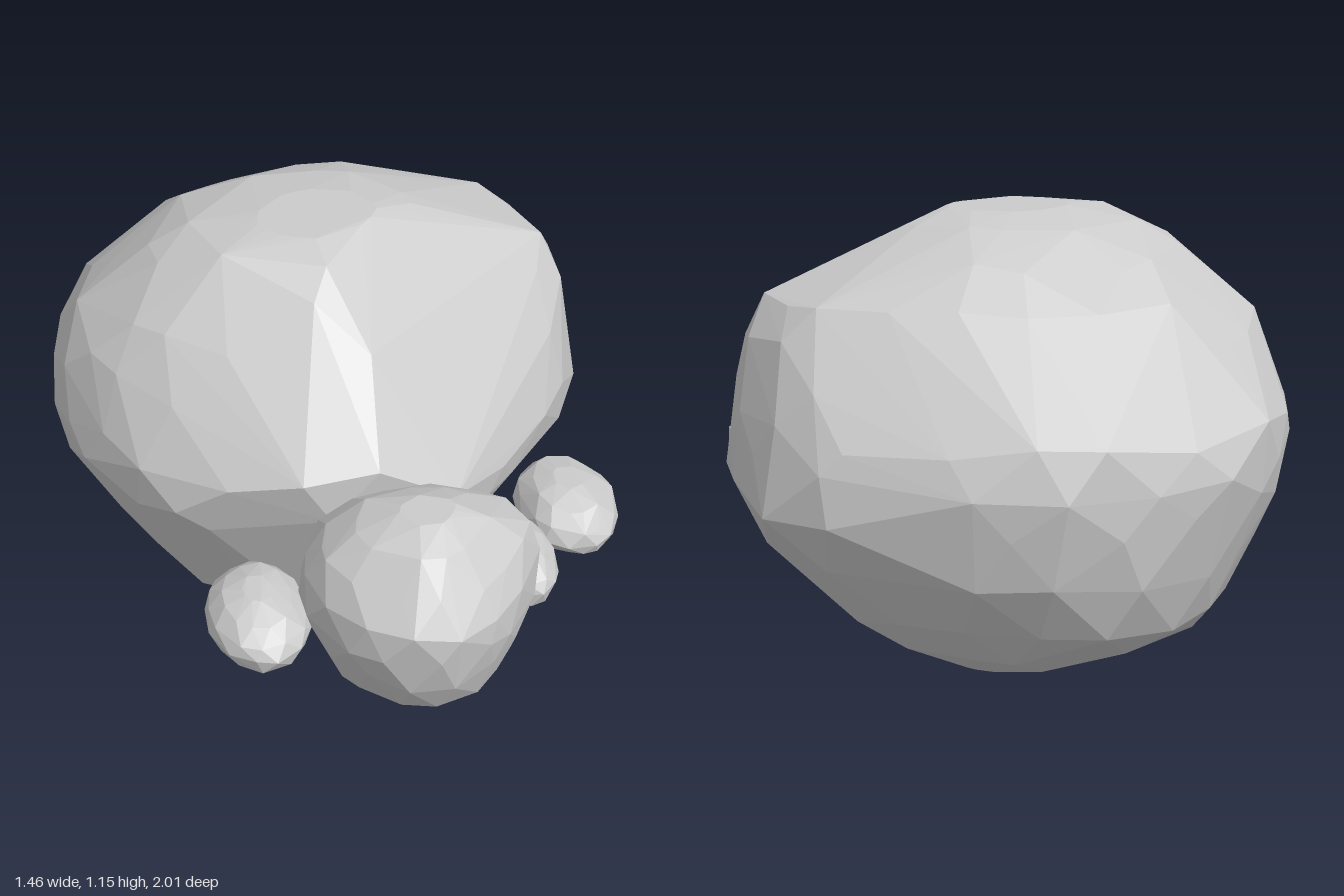
import * as THREE from 'three';
import { ConvexGeometry } from 'three/addons/geometries/ConvexGeometry.js';

const material = new THREE.MeshStandardMaterial({ color: 0xcccccc, flatShading: true });

// Small seeded generator for the chipped irregularity
function seeded(seed) {
  return () => {
    seed = (seed * 16807) % 2147483647;
    return seed / 2147483647;
  };
}

// Closed smooth plan curve through the outline, scaled to fill the square -1..1
function planCurve(outline) {
  const box = new THREE.Box2().setFromPoints(outline.map(([x, z]) => new THREE.Vector2(x, z)));
  const c = box.getCenter(new THREE.Vector2());
  const s = box.getSize(new THREE.Vector2());
  const corners = outline.map(([x, z]) => new THREE.Vector3((x - c.x) / s.x * 2, 0, (z - c.y) / s.y * 2));
  return new THREE.CatmullRomCurve3(corners, true);
}

// Faceted rock: the plan is fitted to each section [y, x0, x1, z0, z1, dropLeft, dropRight],
// where the drops lower the section at its front corners; alternate rings are staggered
function rock(name, outline, sections, sides, seed, rough) {
  const rand = seeded(seed);
  const plan = planCurve(outline);
  const low = sections[0][0], high = sections[sections.length - 1][0];
  const points = [];
  sections.forEach(([y, x0, x1, z0, z1, dropLeft = 0, dropRight = 0], ring) => {
    for (let i = 0; i < sides; i++) {
      const p = plan.getPointAt(((i + ring * 0.5 + rand() * 0.4) / sides) % 1);
      const drop = (p.x > 0 ? dropLeft : dropRight) * Math.abs(p.x) * Math.max(0, p.z) * 2;
      const chip = 1 + (rand() - 0.65) * rough;
      const lift = (rand() - 0.5) * 1.6 * rough * (high - low) - drop;
      points.push(new THREE.Vector3(
        (x0 + x1) / 2 + p.x * chip * (x1 - x0) / 2,
        THREE.MathUtils.clamp(y + lift, low, high),
        (z0 + z1) / 2 + p.z * chip * (z1 - z0) / 2));
    }
  });
  const mesh = new THREE.Mesh(new ConvexGeometry(points), material);
  mesh.name = name;
  return mesh;
}

// Pebble: a flattened, faceted oval fitted to a box
function pebble(name, [x0, x1], [y0, y1], [z0, z1], seed) {
  const oval = [[1, 0], [0.72, 0.72], [0, 1], [-0.72, 0.72], [-1, 0], [-0.72, -0.72], [0, -1], [0.72, -0.72]];
  const stack = [[0, 0.25], [0.12, 0.66], [0.3, 0.92], [0.5, 1.01], [0.68, 0.93], [0.87, 0.67], [1, 0.28]];
  const cx = (x0 + x1) / 2, cz = (z0 + z1) / 2;
  const sections = stack.map(([t, s]) => {
    const hx = s * (x1 - x0) / 2, hz = s * (z1 - z0) / 2;
    return [y0 + t * (y1 - y0), cx - hx, cx + hx, cz - hz, cz + hz];
  });
  return rock(name, oval, sections, 12, seed, 0.05);
}

export function createModel() {
  const group = new THREE.Group();
  group.name = 'rockCluster';

  // Large boulder with a sloping back and an undercut front lip that falls away to both sides
  group.add(rock('largeBoulder', [
    [-0.08, -1], [0.14, -0.96], [0.38, -0.84], [0.58, -0.72], [0.66, -0.58], [0.73, -0.24],
    [0.68, -0.08], [0.55, 0.1], [0.42, 0.24], [0.27, 0.4], [0.14, 0.45], [-0.12, 0.465],
    [-0.33, 0.37], [-0.49, 0.27], [-0.64, 0.07], [-0.73, -0.14], [-0.735, -0.28],
    [-0.69, -0.48], [-0.6, -0.7], [-0.38, -0.9],
  ], [
    [0, 0.04, 0.14, -0.52, -0.3],
    [0.05, -0.2, 0.22, -0.63, -0.03],
    [0.13, -0.49, 0.39, -0.79, 0.13],
    [0.2, -0.58, 0.5, -0.9, 0.28],
    [0.35, -0.65, 0.65, -0.97, 0.35],
    [0.49, -0.72, 0.74, -0.99, 0.4, 0.05, 0.03],
    [0.6, -0.745, 0.725, -1.005, 0.44, 0.12, 0.07],
    [0.68, -0.74, 0.715, -0.985, 0.465, 0.2, 0.1],
    [0.77, -0.71, 0.705, -0.87, 0.475, 0.26, 0.1],
    [0.87, -0.67, 0.68, -0.77, 0.33, 0.2, 0.05],
    [0.95, -0.58, 0.62, -0.69, 0.24, 0.18],
    [1.05, -0.46, 0.39, -0.58, 0.13, 0.14],
    [1.11, -0.36, 0.25, -0.43, 0.05, 0.1],
    [1.155, -0.18, 0.14, -0.28, -0.04],
  ], 20, 17, 0.03));

  // Smaller round boulder leaning against the front
  group.add(rock('smallBoulder', [
    [-0.1, 0.45], [-0.18, 0.5], [-0.25, 0.68], [-0.25, 0.74], [-0.17, 0.9], [-0.05, 0.99],
    [0.06, 1], [0.15, 0.97], [0.27, 0.85], [0.355, 0.71], [0.33, 0.6], [0.27, 0.53], [0.16, 0.44],
  ], [
    [0.28, 0.03, 0.13, 0.58, 0.7],
    [0.31, -0.04, 0.2, 0.54, 0.8],
    [0.38, -0.18, 0.31, 0.48, 0.92],
    [0.49, -0.225, 0.345, 0.43, 0.98],
    [0.58, -0.26, 0.36, 0.425, 1.005],
    [0.67, -0.25, 0.35, 0.46, 1.005],
    [0.75, -0.21, 0.32, 0.52, 0.95],
    [0.82, -0.13, 0.21, 0.61, 0.89],
    [0.865, -0.02, 0.12, 0.69, 0.81],
  ], 15, 41, 0.03));

  // Three flat pebbles around the small boulder
  group.add(
    pebble('rightPebble', [-0.475, -0.205], [0.335, 0.52], [0.36, 0.735], 5),
    pebble('middlePebble', [0.28, 0.465], [0.345, 0.53], [0.35, 0.65], 23),
    pebble('leftPebble', [0.425, 0.695], [0.335, 0.52], [0.11, 0.485], 71));

  return group;
}
